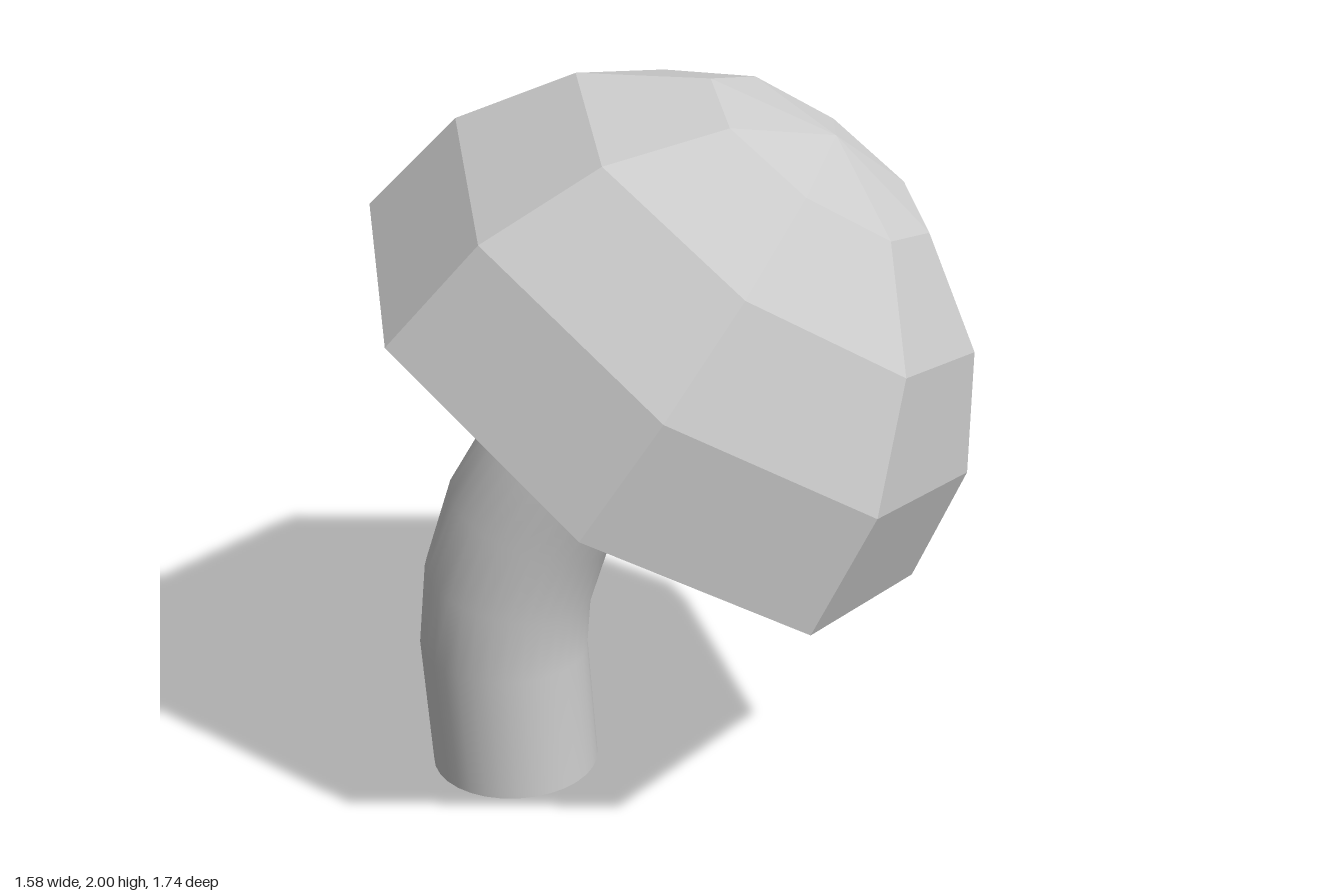
import * as THREE from 'three';
import { mergeVertices } from 'three/addons/utils/BufferGeometryUtils.js';

const STEM_RADIUS = 0.235;
const CAP_RADIUS = 0.873;

// Stem rings from the ground up: centre x, centre y, tilt in degrees
const STEM_RINGS = [
  [-0.445, 0, 0],
  [-0.468, 0.37, 2.5],
  [-0.45, 0.565, 13.5],
  [-0.385, 0.77, 23],
  [-0.275, 0.955, 29.5],
  [-0.125, 1.145, 33],
  [-0.06, 1.24, 33.8],
];

// Bend a straight cylinder so each of its rings follows the stem path
function bentStemGeometry() {
  const last = STEM_RINGS.length - 1;
  let geometry = new THREE.CylinderGeometry(STEM_RADIUS, STEM_RADIUS, 1, 32, last, true);
  const p = geometry.attributes.position;
  for (let i = 0; i < p.count; i++) {
    const [cx, cy, tilt] = STEM_RINGS[Math.round((p.getY(i) + 0.5) * last)];
    const a = THREE.MathUtils.degToRad(tilt);
    const x = p.getX(i);
    p.setXYZ(i, cx + x * Math.cos(a), cy - x * Math.sin(a), p.getZ(i));
  }
  // Weld the seam so the shading is smooth all round
  geometry.deleteAttribute('uv');
  geometry.deleteAttribute('normal');
  geometry = mergeVertices(geometry);
  geometry.computeVertexNormals();
  return geometry;
}

export function createModel() {
  const model = new THREE.Group();
  model.name = 'mushroom';
  const smooth = new THREE.MeshStandardMaterial({ color: 0xcccccc });
  const faceted = new THREE.MeshStandardMaterial({ color: 0xcccccc, flatShading: true });

  const add = (parent, name, geometry, material) => {
    const mesh = new THREE.Mesh(geometry, material);
    mesh.name = name;
    parent.add(mesh);
    return mesh;
  };

  // Curved stem with a closed foot
  const stem = new THREE.Group();
  stem.name = 'stem';
  add(stem, 'stemSide', bentStemGeometry(), smooth);
  const foot = add(stem, 'stemFoot', new THREE.CircleGeometry(STEM_RADIUS, 32).rotateX(Math.PI / 2), smooth);
  foot.position.set(STEM_RINGS[0][0], 0, 0);
  model.add(stem);

  // Faceted half-dome cap with a flat underside
  const cap = new THREE.Group();
  cap.name = 'cap';
  add(cap, 'capDome', new THREE.SphereGeometry(CAP_RADIUS, 8, 4, 0, Math.PI * 2, 0, Math.PI / 2), faceted);
  add(cap, 'capUnderside', new THREE.CircleGeometry(CAP_RADIUS, 8).rotateX(Math.PI / 2), faceted);

  // Tilt the cap along its own axes
  const up = new THREE.Vector3(0.554, 0.831, 0.043).normalize();
  const side = new THREE.Vector3(1.45, -0.97, 0.07).projectOnPlane(up).normalize();
  const front = new THREE.Vector3().crossVectors(side, up);
  cap.quaternion.setFromRotationMatrix(new THREE.Matrix4().makeBasis(side, up, front));
  cap.position.set(-0.065, 1.145, 0);
  model.add(cap);

  return model;
}
